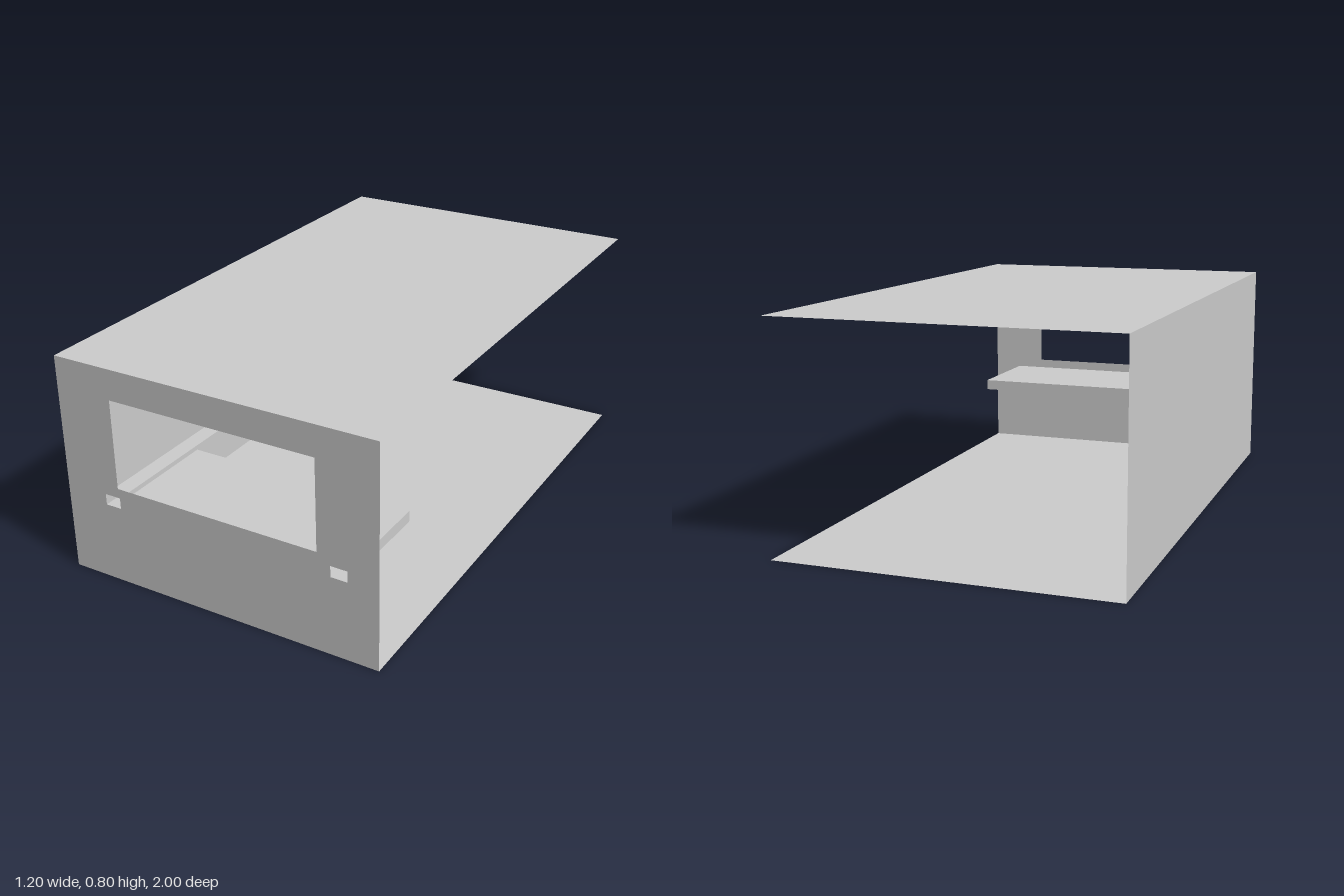
import * as THREE from 'three';

const grey = new THREE.MeshStandardMaterial({ color: 0xcccccc, side: THREE.DoubleSide });
grey.name = 'plain grey';

const W = 0.6, H = 0.8, D = 1; // half width, height, half depth

// Thin rectangular panel
function panel(name, w, h, position, rotation = [0, 0, 0]) {
  const mesh = new THREE.Mesh(new THREE.PlaneGeometry(w, h), grey);
  mesh.name = name;
  mesh.position.set(...position);
  mesh.rotation.set(...rotation);
  return mesh;
}

// Clockwise rectangle to cut from a shape
function rectHole(x0, x1, y0, y1) {
  const path = new THREE.Path();
  path.moveTo(x0, y0).lineTo(x0, y1).lineTo(x1, y1).lineTo(x1, y0).closePath();
  return path;
}

// Hollow box running back from the front wall, open at its front end
function hollowBox(name, x0, x1, y0, y1, z0) {
  const geometry = new THREE.BoxGeometry(x1 - x0, y1 - y0, D - z0);
  const index = Array.from(geometry.index.array);
  index.splice(24, 6); // drop the +z side
  geometry.setIndex(index);
  geometry.clearGroups();
  const mesh = new THREE.Mesh(geometry, grey);
  mesh.name = name;
  mesh.position.set((x0 + x1) / 2, (y0 + y1) / 2, (z0 + D) / 2);
  return mesh;
}

export function createModel() {
  const model = new THREE.Group();
  model.name = 'openCabin';

  // Shell: floor, roof and one side wall; the back and the left side stay open
  model.add(panel('floor', 2 * W, 2 * D, [0, 0, 0], [Math.PI / 2, 0, 0]));
  model.add(panel('roof', 2 * W, 2 * D, [0, H, 0], [-Math.PI / 2, 0, 0]));
  model.add(panel('sideWall', 2 * D, H, [-W, H / 2, 0], [0, -Math.PI / 2, 0]));

  // Front wall with the window and two small sockets
  const shape = new THREE.Shape();
  shape.moveTo(-W, 0).lineTo(W, 0).lineTo(W, H).lineTo(-W, H).closePath();
  shape.holes.push(
    rectHole(-0.385, 0.382, 0.365, 0.69),
    rectHole(-0.44, -0.38, 0.29, 0.33),
    rectHole(0.43, 0.49, 0.29, 0.33)
  );
  const front = new THREE.Mesh(new THREE.ShapeGeometry(shape), grey);
  front.name = 'frontWall';
  front.position.z = D;
  model.add(front);

  // Shelf and side rail behind the sockets
  model.add(hollowBox('shelf', -0.36, 0.49, 0.29, 0.33, 0.6));
  model.add(hollowBox('rail', -0.44, -0.38, 0.29, 0.33, 0.28));

  return model;
}
